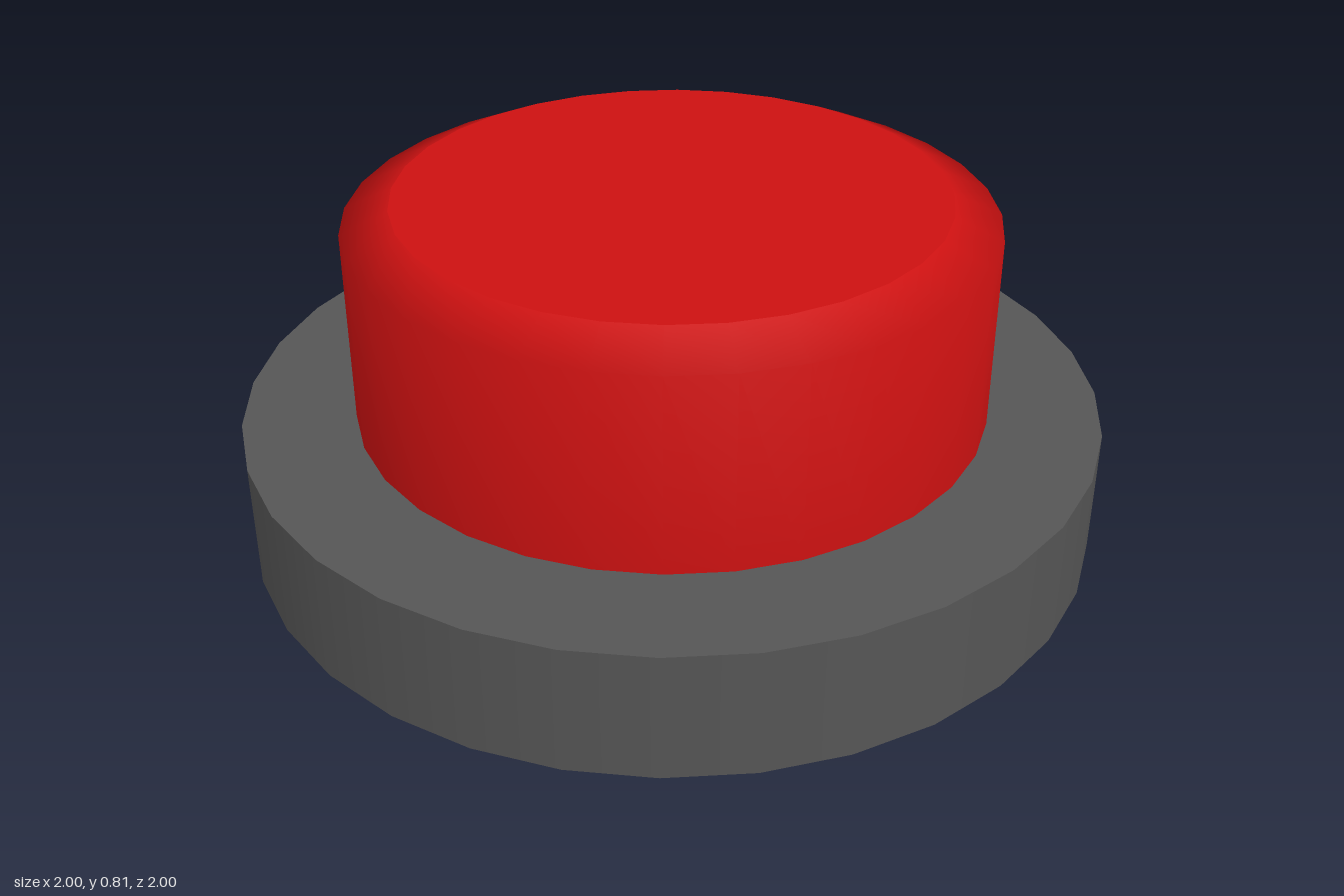
import * as THREE from 'three';

const SIDES = 32;

// Revolved solid; a repeated profile point keeps that edge sharp.
function turned(name, color, profile) {
  const points = profile.map(([r, y]) => new THREE.Vector2(r, y));
  const mesh = new THREE.Mesh(
    new THREE.LatheGeometry(points, SIDES),
    new THREE.MeshStandardMaterial({ color })
  );
  mesh.name = name;
  return mesh;
}

export function createModel() {
  const group = new THREE.Group();
  group.name = 'pushButton';

  // Wide flat base disc
  group.add(turned('base', 0x555555, [
    [0, 0], [1, 0], [1, 0], [1, 0.3], [1, 0.3], [0, 0.3],
  ]));

  // Red cap with a softly shaded bevel around a flat top
  group.add(turned('buttonCap', 0xcc1111, [
    [0.74, 0.3], [0.74, 0.76], [0.63, 0.81], [0.63, 0.81], [0, 0.81],
  ]));

  return group;
}
